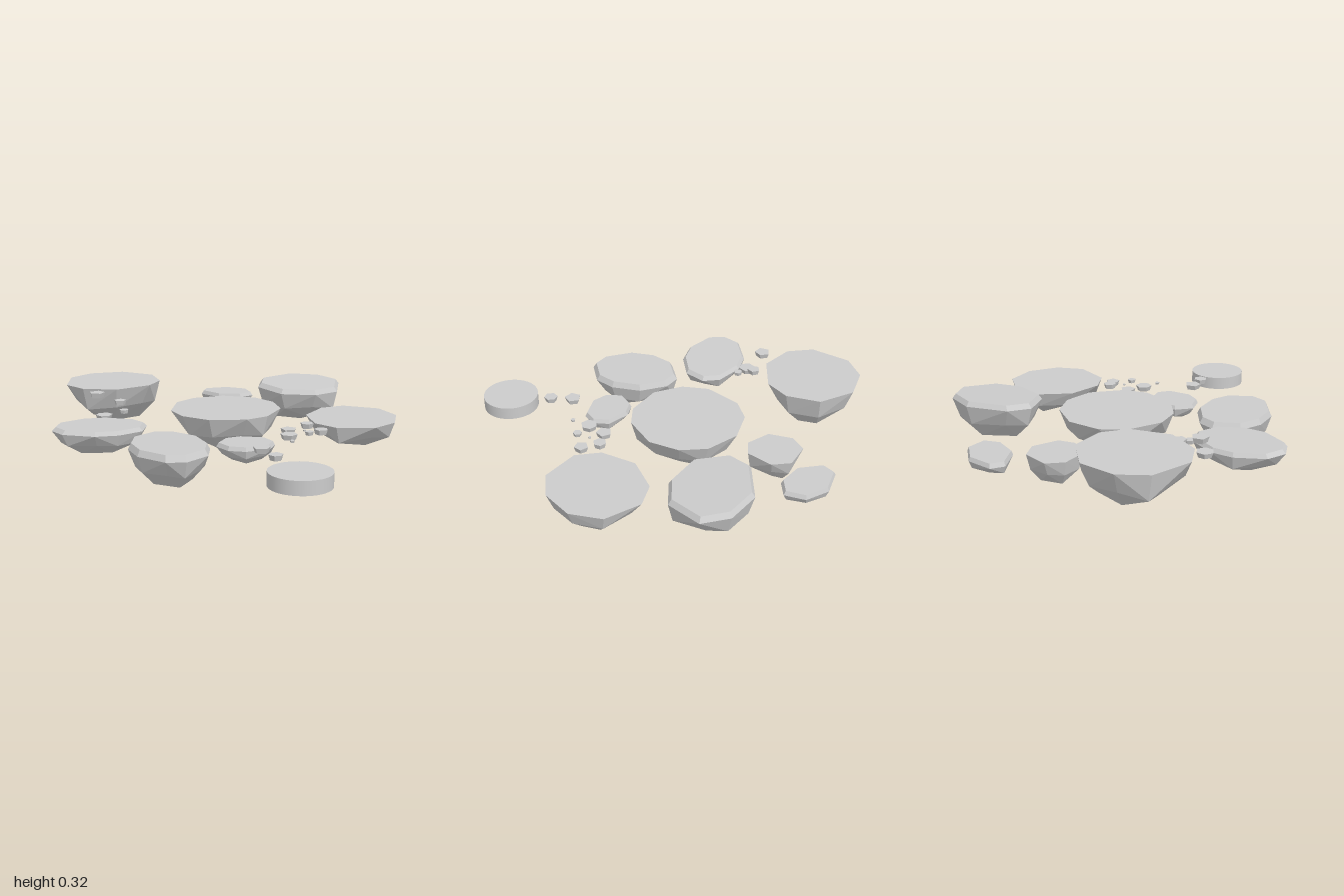
import * as THREE from 'three';
import { ConvexGeometry } from 'three/addons/geometries/ConvexGeometry.js';

const rock = new THREE.MeshStandardMaterial({ color: 0xcccccc, flatShading: true });
const smooth = new THREE.MeshStandardMaterial({ color: 0xcccccc });

// Faceted floating rock: an uneven oval top, a chamfered or sharp rim, and
// belly rings shrinking towards a low point.
// at: centre [x, z]; size: half axes; turn: direction of the first axis;
// low: [x, y, z]; slope: top's rise along [x, z]
function island({ name, at, size, sides, turn = 0, phase = 0, top, low, chamfer = 0, slope = [0, 0] }, seed) {
  const points = [];
  const add = (dx, y, dz) => points.push(new THREE.Vector3(at[0] + dx, y, at[1] + dz));
  for (let i = 0; i < sides; i++) {
    const wobble = Math.sin(i * 2.4 + seed * 1.7);
    const a = phase + ((i + wobble * 0.12) / sides) * Math.PI * 2;
    const u = Math.cos(a) * size[0] * 1.02, v = Math.sin(a) * size[1] * 1.02;
    const dx = u * Math.cos(turn) - v * Math.sin(turn);
    const dz = u * Math.sin(turn) + v * Math.cos(turn);
    const height = (k) => top + (slope[0] * dx + slope[1] * dz) * k;
    const rimY = height(1) - chamfer;
    if (chamfer) add(dx * 0.92, height(0.92), dz * 0.92);
    add(dx, rimY, dz);
    // every other corner skips the lower ring, which gives broad facets
    const rings = i % 2 ? [[0.5, 0.84]] : [[0.45, 0.83], [0.84, 0.5]];
    for (const [depth, scale] of rings) {
      const k = scale + wobble * 0.06, pull = depth * depth * 0.5;
      add(
        dx * k + (low[0] - at[0]) * pull,
        rimY + (low[1] - rimY) * (depth + wobble * 0.05),
        dz * k + (low[2] - at[1]) * pull
      );
    }
  }
  points.push(new THREE.Vector3(...low));
  const mesh = new THREE.Mesh(new ConvexGeometry(points), rock);
  mesh.name = name;
  return mesh;
}

const bigIslands = [
  { name: 'backLeftIsland', at: [-0.317, -0.75], size: [0.262, 0.25], sides: 9, phase: 0.5,
    top: 0.315, low: [-0.3, 0.08, -0.8] },
  { name: 'centreIsland', at: [0.03, -0.115], size: [0.285, 0.285], sides: 11, phase: 0.1,
    top: 0.24, low: [0.04, 0.03, -0.06] },
  { name: 'rightIsland', at: [0.63, -0.265], size: [0.245, 0.2], sides: 8, turn: 0.25,
    top: 0.288, low: [0.64, 0.07, -0.27], chamfer: 0.025, slope: [0, -0.07] },
  { name: 'frontRightIsland', at: [0.565, 0.275], size: [0.255, 0.235], sides: 9, turn: -0.8, phase: 1.2,
    top: 0.2, low: [0.63, 0.04, 0.28] },
  { name: 'frontLeftIsland', at: [-0.49, 0.215], size: [0.24, 0.182], sides: 10, turn: 1.7,
    top: 0.2, low: [-0.48, 0, 0.23], chamfer: 0.03 },
  { name: 'leftIsland', at: [-0.64, -0.22], size: [0.235, 0.165], sides: 10, turn: 0.25,
    top: 0.215, low: [-0.62, 0.075, -0.22], chamfer: 0.02, slope: [-0.03, 0] },
];

const smallIslands = [
  { name: 'smallBackIsland', at: [0.16, -0.56], size: [0.13, 0.14], sides: 7, phase: 0.2,
    top: 0.16, low: [0.145, 0.005, -0.56] },
  { name: 'smallBackRightIsland', at: [0.42, -0.715], size: [0.155, 0.105], sides: 7, turn: 0.8,
    top: 0.18, low: [0.42, 0.09, -0.72], chamfer: 0.02 },
  { name: 'smallFrontIsland', at: [-0.125, 0.315], size: [0.14, 0.11], sides: 8, turn: 0.45,
    top: 0.175, low: [-0.12, 0.075, 0.32], chamfer: 0.02 },
];

// Stepping stones: x, z, radius, top height
const backStones = [
  [-0.53, -0.49, 0.042, 0.318], [-0.53, -0.41, 0.044, 0.215],
  [-0.42, -0.445, 0.034, 0.272], [-0.44, -0.36, 0.024, 0.24],
];
const frontStones = [
  [-0.165, 0.51, 0.044, 0.2], [-0.17, 0.63, 0.036, 0.195], [0.035, 0.475, 0.013, 0.195],
  [0.08, 0.385, 0.043, 0.2], [0.14, 0.3, 0.041, 0.2], [0.17, 0.43, 0.023, 0.21],
  [0.19, 0.365, 0.008, 0.2], [0.25, 0.305, 0.034, 0.215], [0.27, 0.395, 0.037, 0.2],
];

function stonePath(name, stones) {
  const path = new THREE.Group();
  path.name = name;
  stones.forEach(([x, z, r, top], i) => {
    const h = Math.min(0.026, r * 0.8);
    const stone = new THREE.Mesh(new THREE.CylinderGeometry(r, r * 0.8, h, 5 + (i % 2)), rock);
    stone.position.set(x, top - h / 2, z);
    stone.rotation.y = i * 1.3;
    stone.name = 'steppingStone';
    path.add(stone);
  });
  return path;
}

export function createModel() {
  const group = new THREE.Group();
  group.name = 'floatingIslands';
  [...bigIslands, ...smallIslands].forEach((spec, i) => group.add(island(spec, i + 1)));
  group.add(stonePath('backSteppingStones', backStones), stonePath('frontSteppingStones', frontStones));

  // round starting platform
  const platform = new THREE.Mesh(new THREE.CylinderGeometry(0.145, 0.145, 0.066, 40), smooth);
  platform.position.set(-0.2, 0.147, 0.855);
  platform.name = 'roundPlatform';
  group.add(platform);
  return group;
}
